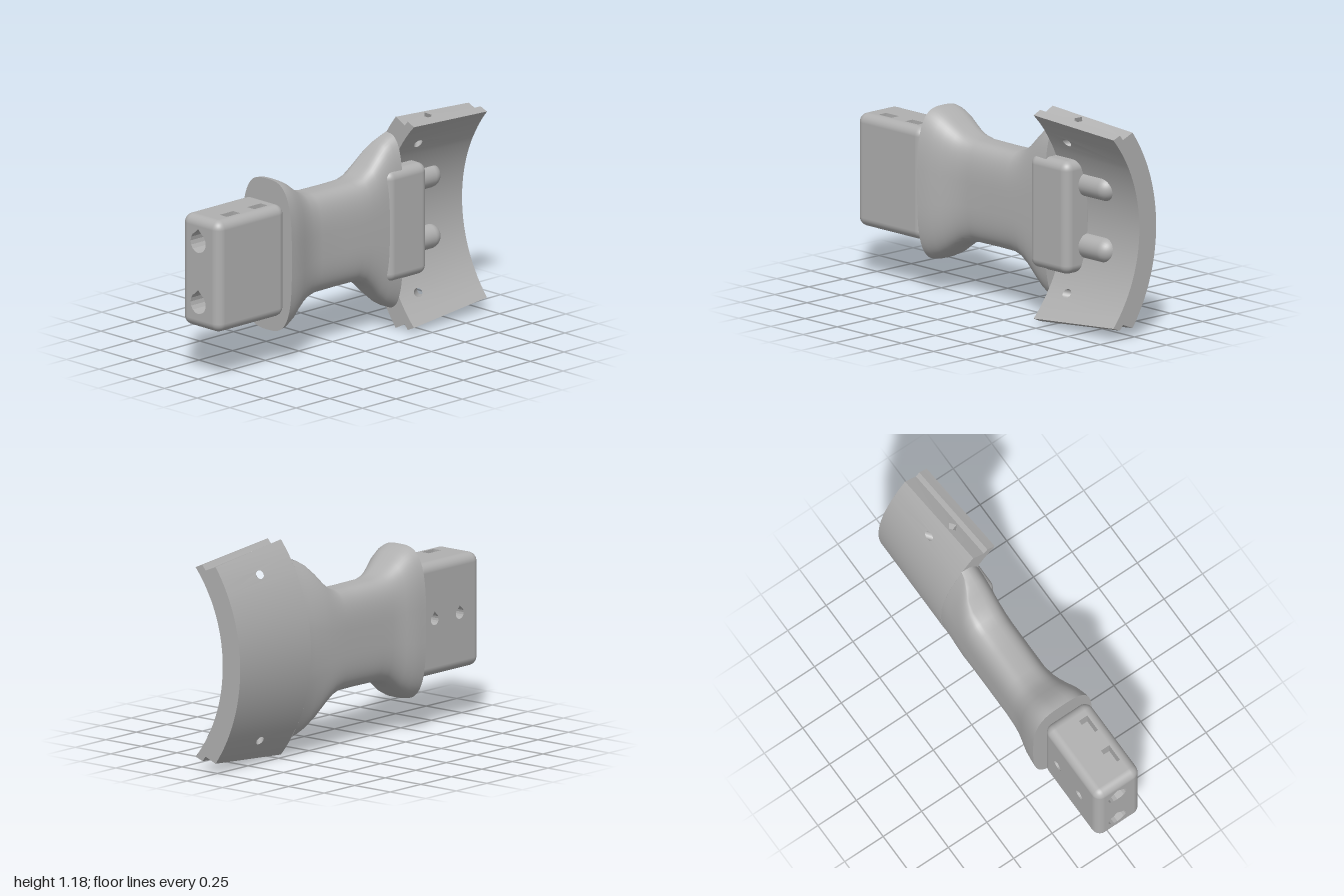
import * as THREE from 'three';
import { mergeGeometries, mergeVertices } from 'three/addons/utils/BufferGeometryUtils.js';
import { RoundedBoxGeometry } from 'three/addons/geometries/RoundedBoxGeometry.js';

const grey = new THREE.MeshStandardMaterial({ color: 0xb0b0b0, side: THREE.DoubleSide });
grey.name = 'plain grey';

const V2 = (x, y) => new THREE.Vector2(x, y);
const V3 = (x, y, z) => new THREE.Vector3(x, y, z);
const lerp = THREE.MathUtils.lerp;

function add(parent, name, geometry) {
  const mesh = new THREE.Mesh(geometry, grey);
  mesh.name = name;
  parent.add(mesh);
  return mesh;
}

function part(parent, name) {
  const group = new THREE.Group();
  group.name = name;
  parent.add(group);
  return group;
}

// Round outline; tip above 1 pulls the top into a teardrop
function ring(cx, cy, rx, ry, tip = 1, n = 16) {
  return Array.from({ length: n }, (_, i) => {
    const a = (i / n) * Math.PI * 2;
    return V2(cx + rx * Math.cos(a), cy + ry * Math.sin(a) * (i === n / 4 ? tip : 1));
  });
}

function rect(x0, x1, y0, y1) {
  return [V2(x0, y0), V2(x1, y0), V2(x1, y1), V2(x0, y1)];
}

function shape(points, holes = []) {
  const s = new THREE.Shape(points);
  s.holes = holes.map(h => new THREE.Path(h));
  return s;
}

// Flat shapes carried onto a surface by the rule fn(u, v)
function sheet(shapes, fn) {
  let g = mergeGeometries(shapes.map(s => new THREE.ShapeGeometry(s)));
  const p = g.attributes.position;
  for (let i = 0; i < p.count; i++) p.setXYZ(i, ...fn(p.getX(i), p.getY(i)).toArray());
  g.deleteAttribute('normal');
  g.deleteAttribute('uv');
  g = mergeVertices(g, 1e-5);
  g.computeVertexNormals();
  return g;
}

// Skin over closed rings with equal point counts
function loft(rings, flat = false) {
  const n = rings[0].length, index = [];
  for (let j = 0; j < rings.length - 1; j++) {
    for (let i = 0; i < n; i++) {
      const a = j * n + i, b = j * n + (i + 1) % n;
      index.push(a, b, a + n, b, b + n, a + n);
    }
  }
  let g = new THREE.BufferGeometry().setFromPoints(rings.flat());
  g.setIndex(index);
  if (flat) g = g.toNonIndexed();
  g.computeVertexNormals();
  return g;
}

// Panel facing +z with blind holes
function panel(parent, name, w, h, holes, depth) {
  const group = part(parent, name);
  add(group, 'panelFace', sheet([shape(rect(-w, w, -h, h), holes)], (x, y) => V3(x, y, 0)));
  for (const hole of holes) {
    add(group, 'holeWall', loft([0, -depth].map(z => hole.map(p => V3(p.x, p.y, z))), true));
    add(group, 'holeFloor', sheet([shape(hole)], (x, y) => V3(x, y, -depth)));
  }
  return group;
}

// Rounded block with sockets in its end, slots on top and holes behind
function buildBlock(root) {
  const block = part(root, 'endBlock');
  const half = [0.2525, 0.31, 0.1425], r = 0.05;
  const [fx, fy, fz] = half.map(v => v - r);
  block.position.set(-0.7475, 0.59, 0.0125);
  const box = new RoundedBoxGeometry(half[0] * 2, half[1] * 2, half[2] * 2, 5, r);
  const src = box.attributes.position, nor = box.attributes.normal, pos = [], nrm = [];
  const open = [[0, -1], [1, 1], [2, -1]];
  for (let i = 0; i < src.count; i += 3) {
    const onOpenFace = open.some(([axis, sign]) => [0, 1, 2].every(
      k => Math.abs(src.getComponent(i + k, axis) - sign * half[axis]) < 1e-5));
    if (onOpenFace) continue;
    for (let k = i; k < i + 3; k++) {
      pos.push(src.getX(k), src.getY(k), src.getZ(k));
      nrm.push(nor.getX(k), nor.getY(k), nor.getZ(k));
    }
  }
  const shell = new THREE.BufferGeometry();
  shell.setAttribute('position', new THREE.Float32BufferAttribute(pos, 3));
  shell.setAttribute('normal', new THREE.Float32BufferAttribute(nrm, 3));
  add(block, 'blockBody', shell);

  const end = panel(block, 'socketEnd', fz, fy,
    [-0.17, 0.17].map(y => ring(-0.0125, y, 0.058, 0.058, 1.3)), 0.22);
  end.rotation.y = -Math.PI / 2;
  end.position.x = -half[0];
  const top = panel(block, 'slottedTop', fx, fz,
    [-0.085, 0.12].map(x => rect(x - 0.05, x + 0.05, -0.086, -0.032)), 0.09);
  top.rotation.x = -Math.PI / 2;
  top.position.y = half[1];
  const back = panel(block, 'drilledBack', fx, fy,
    [-0.12, 0.085].map(x => ring(x, 0, 0.032, 0.032, 1.35)), 0.09);
  back.rotation.y = Math.PI;
  back.position.z = -half[2];
}

// Waisted grip: x, half height, back z, front z, fit to the curved plate
function buildGrip(root) {
  const grip = part(root, 'grip');
  const stations = [
    [-0.487, 0.42, -0.19, 0.19, 0], [-0.45, 0.413, -0.188, 0.183, 0], [-0.4, 0.388, -0.184, 0.17, 0],
    [-0.35, 0.352, -0.173, 0.15, 0], [-0.3, 0.318, -0.163, 0.133, 0], [-0.25, 0.293, -0.16, 0.12, 0],
    [-0.18, 0.279, -0.158, 0.11, 0], [0, 0.277, -0.158, 0.11, 0], [0.12, 0.279, -0.158, 0.11, 0],
    [0.18, 0.297, -0.158, 0.11, 0.15], [0.24, 0.342, -0.158, 0.11, 0.4], [0.29, 0.395, -0.158, 0.11, 0.65],
    [0.34, 0.444, -0.158, 0.11, 0.85], [0.38, 0.47, -0.158, 0.11, 0.95], [0.42, 0.487, -0.158, 0.11, 1]];
  const n = 64;
  const rings = stations.map(([x, hy, zb, zf, fit]) => Array.from({ length: n }, (_, i) => {
    const a = (i / n) * Math.PI * 2, c = Math.cos(a), s = Math.sin(a);
    const soft = v => Math.sign(v) * Math.abs(v) ** (2 / 3.2);
    const dy = hy * soft(s);
    let z = (zb + zf) / 2 + (zf - zb) / 2 * soft(c);
    if (c < 0) z = lerp(z, zb + 0.92 - Math.sqrt(0.92 ** 2 - dy * dy), fit);
    return V3(x, 0.59 + dy, z);
  }));
  add(grip, 'gripBody', loft(rings));
  for (const r of [rings[0], rings.at(-1)]) {
    add(grip, 'gripEnd', sheet([shape(r.map(p => V2(p.z, p.y)))], (z, y) => V3(r[0].x, y, z)));
  }
}

// Curved plate with stepped edges and slanted bolt holes
function buildPlate(root) {
  const plate = part(root, 'curvedPlate');
  const x0 = 0.42, x1 = 1;
  const edge = [[0.797, 44.5], [0.846, 43.3], [0.846, 40.9], [0.92, 39.7]];
  const limit = (deg, x) => deg - 4 * (x - x0) / (x1 - x0);
  const at = (r, deg, x) => {
    const a = THREE.MathUtils.degToRad(deg);
    return V3(x, 0.588 + r * Math.sin(a), 0.76 - r * Math.cos(a));
  };

  // Inner and outer faces, in strips across the curve
  const faces = [[edge[0], 0.72, 0.56], [edge[3], 0.78, 0.7]].map(([[r, deg], c, hx]) => {
    const fn = (x, t) => at(r, t * limit(deg, x), x);
    const lo = c - 0.07, hi = c + 0.07, cuts = [-1, -(1 + hi) / 2, -hi];
    for (let i = 0; i <= 24; i++) cuts.push(lerp(-lo, lo, i / 24));
    cuts.push(hi, (1 + hi) / 2, 1);
    const holes = [-1, 1].map(s => ring(hx, s * c, 0.03, 0.042));
    const strips = cuts.slice(1).map((b, i) => {
      const a = cuts[i];
      return shape(rect(x0, x1, a, b), holes.filter(h => h[0].y > a && h[0].y < b));
    });
    add(plate, 'plateFace', sheet(strips, fn));
    return holes.map(h => h.map(p => fn(p.x, p.y)));
  });
  for (const k of [0, 1]) add(plate, 'boltHole', loft([faces[0][k], faces[1][k]]));

  // Stepped long edges, the outer step drilled
  for (const side of [-1, 1]) {
    for (let i = 0; i < 3; i++) {
      const [ra, da] = edge[i], [rb, db] = edge[i + 1];
      const fn = (u, v, sink = 0) => {
        const x = lerp(x0, x1, u);
        return at(lerp(ra, rb, v), side * (limit(lerp(da, db, v), x) - sink), x);
      };
      const hole = ring(0.38, 0.5, 0.05, 0.36, 1, 4);
      add(plate, 'plateEdge', sheet([shape(rect(0, 1, 0, 1), i === 2 ? [hole] : [])], (u, v) => fn(u, v)));
      if (i === 2) add(plate, 'edgeHole', loft([0, 5].map(d => hole.map(p => fn(p.x, p.y, d))), true));
    }
  }

  // Curved end faces
  for (const x of [x0, x1]) {
    const outline = [], steps = 28;
    const arc = (r, from, to) => {
      for (let i = 0; i <= steps; i++) outline.push(at(r, lerp(from, to, i / steps), x));
    };
    const [d0, d1, d2, d3] = edge.map(e => limit(e[1], x));
    arc(edge[0][0], -d0, d0);
    outline.push(at(edge[1][0], d1, x), at(edge[2][0], d2, x));
    arc(edge[3][0], d3, -d3);
    outline.push(at(edge[2][0], -d2, x), at(edge[1][0], -d1, x));
    add(plate, 'plateEnd', sheet([shape(outline.map(p => V2(p.z, p.y)))], (z, y) => V3(x, y, z)));
  }
}

export function createModel() {
  const root = new THREE.Group();
  root.name = 'gripAssembly';
  buildBlock(root);
  buildGrip(root);
  buildPlate(root);

  // Tenon and its two round-nosed pins
  add(root, 'tenon', new RoundedBoxGeometry(0.3, 0.62, 0.2, 5, 0.05)).position.set(0.45, 0.59, 0.02);
  for (const y of [0.425, 0.765]) {
    const pin = add(root, 'pin', new THREE.CapsuleGeometry(0.068, 0.2, 10, 28));
    pin.rotation.z = Math.PI / 2;
    pin.position.set(0.644, y, -0.035);
  }
  return root;
}
